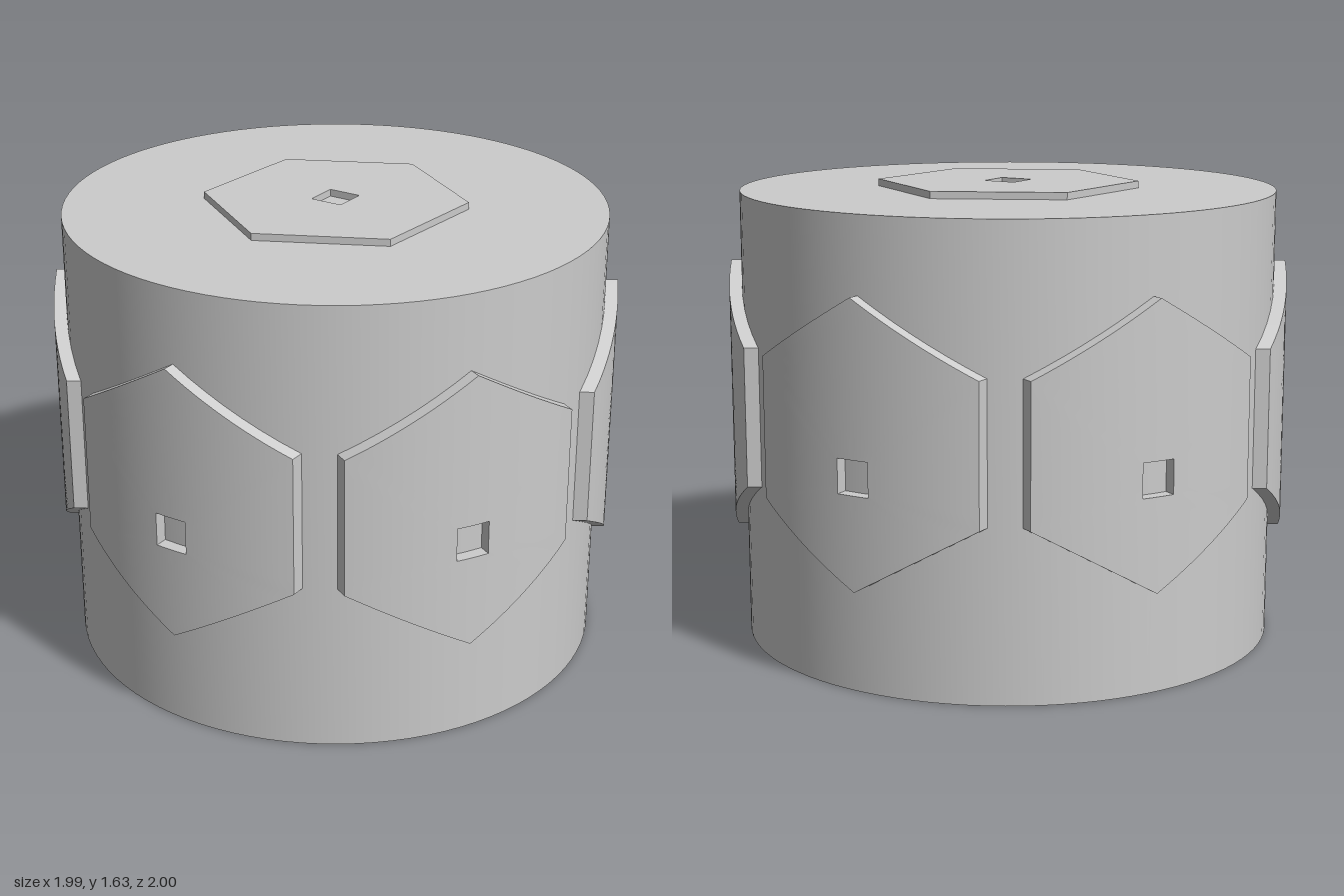
import * as THREE from 'three';
import { toCreasedNormals } from 'three/addons/utils/BufferGeometryUtils.js';

const R = 0.955, HEIGHT = 1.61, PLATE_R = 1.0;
const material = new THREE.MeshStandardMaterial({ color: 0xcccccc });

function addMesh(parent, name, geometry) {
  const mesh = new THREE.Mesh(geometry, material);
  mesh.name = name;
  parent.add(mesh);
  return mesh;
}

// Point on a regular polygon outline at angle a; one corner lies at angle `corner`
function polygonPoint(sides, radius, corner, a) {
  const step = (2 * Math.PI) / sides;
  const rel = (((a - corner) % step) + step) % step - step / 2;
  const r = (radius * Math.cos(step / 2)) / Math.cos(rel);
  return new THREE.Vector2(r * Math.cos(a), r * Math.sin(a));
}

// Hexagonal plate wrapped on the cylinder, with a square hole, facing +z
function curvedPlateGeometry() {
  const N = 72, RINGS = 10, positions = [], index = [];
  const back = R - 0.01;
  const loops = [[0, back]];
  for (let k = 0; k <= RINGS; k++) loops.push([k / RINGS, PLATE_R]);
  loops.push([1, back]);

  for (const [t, radius] of loops) {
    for (let i = 0; i < N; i++) {
      const a = (i / N) * 2 * Math.PI;
      const hole = polygonPoint(4, 0.06 * Math.SQRT2, Math.PI / 4, a);
      hole.y += 0.75;
      const rim = polygonPoint(6, 0.493, Math.PI / 2, a);
      rim.y += 0.853;
      const p = hole.lerp(rim, t);
      positions.push(p.x, p.y, Math.sqrt(radius * radius - p.x * p.x));
    }
  }
  for (let k = 0; k < loops.length - 1; k++) {
    for (let i = 0; i < N; i++) {
      const j = (i + 1) % N;
      const a = k * N + i, b = a + N, c = (k + 1) * N + j, d = k * N + j;
      index.push(a, b, c, a, c, d);
    }
  }
  const g = new THREE.BufferGeometry();
  g.setAttribute('position', new THREE.Float32BufferAttribute(positions, 3));
  g.setIndex(index);
  return toCreasedNormals(g, 0.5);
}

export function createModel() {
  const model = new THREE.Group();
  model.name = 'cupWithHexPlates';

  // Hollow body, open at the bottom
  const profile = [[0, 1.4], [0.747, 1.4], [0.747, 0], [R, 0], [R, HEIGHT], [0, HEIGHT]]
    .map(([x, y]) => new THREE.Vector2(x, y));
  addMesh(model, 'body', toCreasedNormals(new THREE.LatheGeometry(profile, 96), 0.5));

  // Six plates around the side
  const plate = curvedPlateGeometry();
  for (let i = 0; i < 6; i++) {
    addMesh(model, `sidePlate${i + 1}`, plate).rotation.y = (i * Math.PI) / 3;
  }

  // Flat plate on top, turned slightly, with a straight square hole
  const hex = new THREE.Shape();
  for (let i = 0; i < 6; i++) {
    const a = Math.PI / 2 - 0.07 + (i * Math.PI) / 3;
    hex[i ? 'lineTo' : 'moveTo'](0.467 * Math.cos(a), 0.467 * Math.sin(a));
  }
  const s = 0.06;
  hex.holes.push(new THREE.Path([[-s, -s], [-s, s], [s, s], [s, -s]]
    .map(([x, y]) => new THREE.Vector2(x, y))));
  const top = new THREE.ExtrudeGeometry(hex, { depth: 0.025, bevelEnabled: false });
  top.rotateX(-Math.PI / 2);
  addMesh(model, 'topPlate', top).position.y = HEIGHT;

  return model;
}
